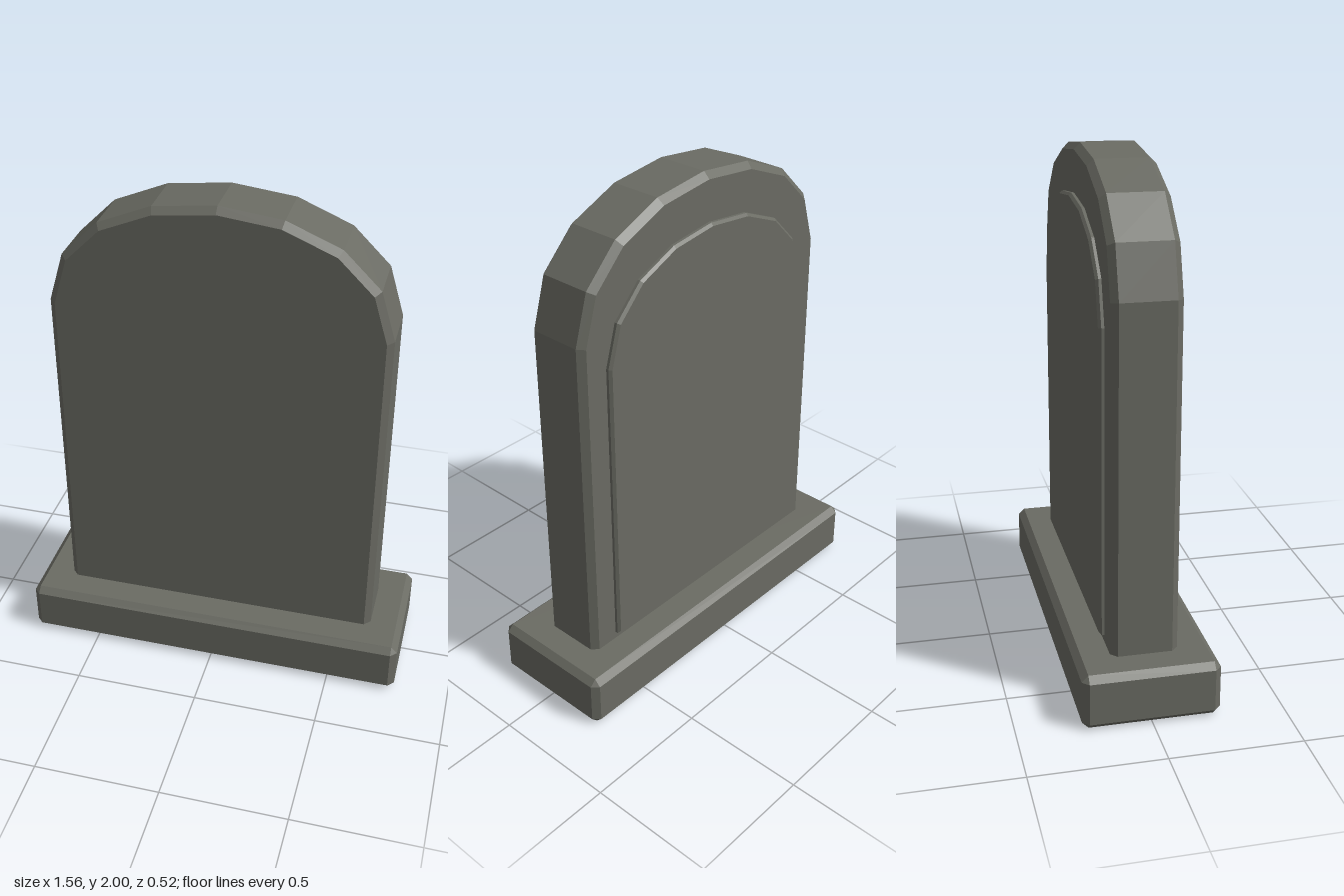
import * as THREE from 'three';
import { ConvexGeometry } from 'three/addons/geometries/ConvexGeometry.js';

// Right half of the faceted arch, as fractions of its half width and rise
const ARCH = [[1, 0], [0.91, 0.43], [0.69, 0.745], [0.37, 0.938], [0, 1]];

// Round-topped plate with bevelled front and back edges
function archPlate(halfWidth, bottom, spring, top, zMin, zMax, bevel) {
  const half = ARCH.map(([u, v]) => [u * halfWidth, spring + v * (top - spring)]);
  const mirrored = half.slice(0, -1).reverse().map(([x, y]) => [-x, y]);
  const outline = [[-halfWidth, bottom], [halfWidth, bottom], ...half, ...mirrored];
  const shape = new THREE.Shape(outline.map(([x, y]) => new THREE.Vector2(x, y)));
  const geometry = new THREE.ExtrudeGeometry(shape, {
    depth: zMax - zMin - 2 * bevel,
    bevelEnabled: true,
    bevelSegments: 1,
    bevelSize: bevel,
    bevelThickness: bevel,
    bevelOffset: -bevel,
  });
  return geometry.translate(0, 0, zMin + bevel);
}

// Box with every edge and corner chamfered
function chamferBox(width, height, depth, c) {
  const [x, y, z] = [width / 2, height / 2, depth / 2];
  const points = [];
  for (const sx of [-1, 1]) for (const sy of [-1, 1]) for (const sz of [-1, 1]) {
    points.push(
      new THREE.Vector3(sx * x, sy * (y - c), sz * (z - c)),
      new THREE.Vector3(sx * (x - c), sy * y, sz * (z - c)),
      new THREE.Vector3(sx * (x - c), sy * (y - c), sz * z),
    );
  }
  return new ConvexGeometry(points);
}

export function createModel() {
  const group = new THREE.Group();
  group.name = 'gravestone';

  const stone = new THREE.MeshStandardMaterial({ color: 0x6a6b63, flatShading: true });
  stone.name = 'grey stone';

  const add = (name, geometry) => {
    const mesh = new THREE.Mesh(geometry, stone);
    mesh.name = name;
    group.add(mesh);
    return mesh;
  };

  // Plinth
  add('base', chamferBox(1.56, 0.215, 0.52, 0.025)).position.y = 0.1075;

  // Upright stone, sunk slightly into the plinth
  add('slab', archPlate(0.65, 0.15, 1.55, 2, -0.128, 0.128, 0.025));

  // Raised inscription panel on the back
  add('backPanel', archPlate(0.535, 0.245, 1.435, 1.815, -0.149, -0.1, 0.01));

  return group;
}
